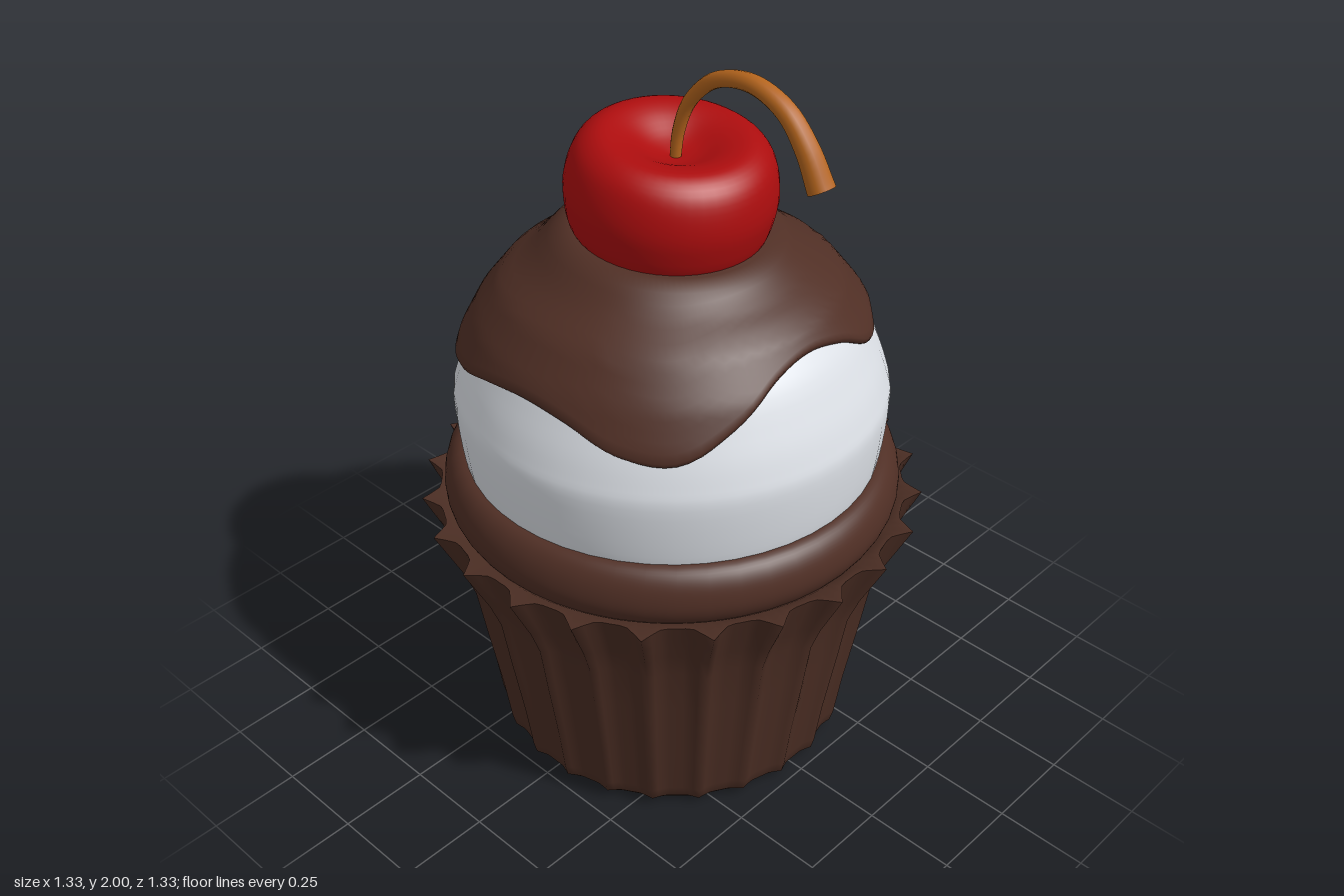
import * as THREE from 'three';

const material = (name, color) => {
  const m = new THREE.MeshStandardMaterial({ color });
  m.name = name;
  return m;
};

// Closed bands of vertices, listed top to bottom on the outside; a repeated row makes a crisp edge.
function ringSurface(rows, n, radiusAndHeight) {
  const pos = [], idx = [];
  for (let j = 0; j < rows; j++) {
    for (let i = 0; i < n; i++) {
      const a = (i / n) * Math.PI * 2;
      const [r, y] = radiusAndHeight(j, i);
      pos.push(Math.sin(a) * r, y, Math.cos(a) * r);
      if (j < rows - 1) {
        const k = (i + 1) % n, A = j * n + i, B = A + n, C = (j + 1) * n + k, D = j * n + k;
        idx.push(A, B, C, A, C, D);
      }
    }
  }
  const g = new THREE.BufferGeometry();
  g.setAttribute('position', new THREE.Float32BufferAttribute(pos, 3));
  g.setIndex(idx);
  g.computeVertexNormals();
  return g;
}

// Smooth turned shape through a few [radius, height] points, bottom to top.
function turned(points, divisions = 30) {
  const curve = new THREE.SplineCurve(points.map(([r, y]) => new THREE.Vector2(r, y)));
  const pts = curve.getPoints(divisions);
  pts.forEach((p) => { p.x = Math.max(0, p.x); });
  return new THREE.LatheGeometry(pts, 48);
}

// Pleated paper cup: [valley radius, height, pleat depth]
function wrapperGeometry() {
  const rows = [
    [0.55, 0.72, 0], [0.6, 0.758, 0.0], [0.622, 0.76, 0.05], [0.622, 0.76, 0.05],
    [0.6, 0.7, 0.042], [0.57, 0.62, 0.032], [0.545, 0.54, 0.026], [0.525, 0.4, 0.023],
    [0.495, 0.2, 0.018], [0.475, 0.06, 0.018], [0.468, 0.025, 0.016], [0.45, 0.004, 0.01],
    [0.43, 0, 0.005], [0.43, 0, 0.005], [0, 0, 0],
  ];
  const pleat = [0, 0, 0.1, 0.5, 1, 0.5, 0.1, 0];
  return ringSurface(rows.length, 24 * pleat.length, (j, i) => {
    const [r, y, depth] = rows[j];
    return [r + depth * pleat[i % pleat.length], y];
  });
}

// Poured sauce: a dome whose lower edge drips to a different height every 15 degrees
function sauceGeometry() {
  const drips = [
    1.255, 1.24, 1.195, 1.18, 1.245, 1.32, 1.345, 1.32, 1.262, 1.28, 1.24, 1.13,
    1.1, 1.14, 1.23, 1.24, 1.25, 1.32, 1.32, 1.27, 1.2, 1.17, 1.195, 1.235,
  ];
  const edge = new THREE.CatmullRomCurve3(
    drips.map((y) => new THREE.Vector3(0, y, 0)), true, 'catmullrom', 0.5);
  const dome = [[0.285, 1.515], [0.35, 1.455], [0.43, 1.4], [0.5, 1.31], [0.546, 1.22], [0.574, 1.13], [0.58, 1.05]];
  const domeRadius = (y) => {
    let k = 0;
    while (k < dome.length - 2 && y < dome[k + 1][1]) k++;
    const [r0, y0] = dome[k], [r1, y1] = dome[k + 1];
    return r0 + ((r1 - r0) * (y0 - y)) / (y0 - y1);
  };
  const n = 120, steps = 14, top = 1.515;
  const crown = [[0, 1.535], [0.15, 1.535], [0.25, 1.533]];
  return ringSurface(crown.length + steps + 4, n, (j, i) => {
    const low = edge.getPoint(i / n).y + 0.022;
    const lean = (r, y) => [r, y - 0.07 * r * Math.sin((i / n) * Math.PI * 2) * THREE.MathUtils.smoothstep(y, 1.42, 1.52)];
    if (j < crown.length) return lean(...crown[j]);
    const s = j - crown.length;
    if (s <= steps) {
      const y = top + (low - top) * (s / steps);
      return lean(domeRadius(y), y);
    }
    // rolled lip tucked back into the scoop
    const [inset, drop] = [[0.006, 0.014], [0.022, 0.022], [0.07, 0.012]][s - steps - 1];
    return [domeRadius(low) - inset, low - drop];
  });
}

// Curved stalk, thin at the fruit and thick at the cut end
function stemGeometry(curve, radiusAt) {
  const segs = 40, sides = 12;
  const g = new THREE.TubeGeometry(curve, segs, 1, sides, false);
  const p = g.attributes.position, v = new THREE.Vector3();
  for (let j = 0; j <= segs; j++) {
    const c = curve.getPointAt(j / segs);
    for (let i = 0; i <= sides; i++) {
      const k = j * (sides + 1) + i;
      v.fromBufferAttribute(p, k).sub(c).multiplyScalar(radiusAt(j / segs)).add(c);
      p.setXYZ(k, v.x, v.y, v.z);
    }
  }
  return g;
}

export function createModel() {
  const model = new THREE.Group();
  model.name = 'cupcake';
  const wrapperBrown = material('wrapper brown', 0x4a2d23);
  const chocolate = material('chocolate', 0x502f25);
  const cream = material('cream white', 0xe0e4ea);
  const cherryRed = material('cherry red', 0xac0d0e);
  const stalk = material('stalk brown', 0xb5651d);

  const add = (name, geometry, mat, parent = model) => {
    const mesh = new THREE.Mesh(geometry, mat);
    mesh.name = name;
    parent.add(mesh);
    return mesh;
  };

  add('wrapper', wrapperGeometry(), wrapperBrown);
  add('cake', turned([[0.54, 0.7], [0.59, 0.75], [0.608, 0.8], [0.596, 0.86], [0.562, 0.897], [0.5, 0.9]]), chocolate);
  add('iceCream', turned([[0.52, 0.82], [0.55, 0.9], [0.567, 1.06], [0.555, 1.13], [0.522, 1.22], [0.462, 1.335], [0.35, 1.42], [0, 1.48]]), cream);
  add('sauce', sauceGeometry(), chocolate);

  // Leaning cherry with a dimple on top
  const cherry = add('cherry', turned([
    [0, -0.18], [0.15, -0.175], [0.236, -0.13], [0.262, -0.05], [0.262, 0.02], [0.238, 0.09],
    [0.19, 0.125], [0.13, 0.118], [0.06, 0.085], [0, 0.07],
  ], 40), cherryRed);
  cherry.position.y = 1.65;
  cherry.rotation.z = -0.12;

  // Stem and its cut end
  const path = new THREE.CatmullRomCurve3([
    [0.01, 1.7], [0.022, 1.79], [0.06, 1.88], [0.14, 1.955], [0.25, 1.979],
    [0.35, 1.945], [0.415, 1.875], [0.463, 1.787],
  ].map(([x, y]) => new THREE.Vector3(x, y, 0)));
  const stem = new THREE.Group();
  stem.name = 'stem';
  model.add(stem);
  const radiusAt = (t) => 0.014 + 0.012 * t + 0.009 * t * t * t;
  add('stalk', stemGeometry(path, radiusAt), stalk, stem);
  const tip = add('stalkEnd', new THREE.CircleGeometry(radiusAt(1), 12), stalk, stem);
  tip.position.copy(path.getPointAt(1));
  tip.quaternion.setFromUnitVectors(new THREE.Vector3(0, 0, 1), path.getTangentAt(1));

  return model;
}
